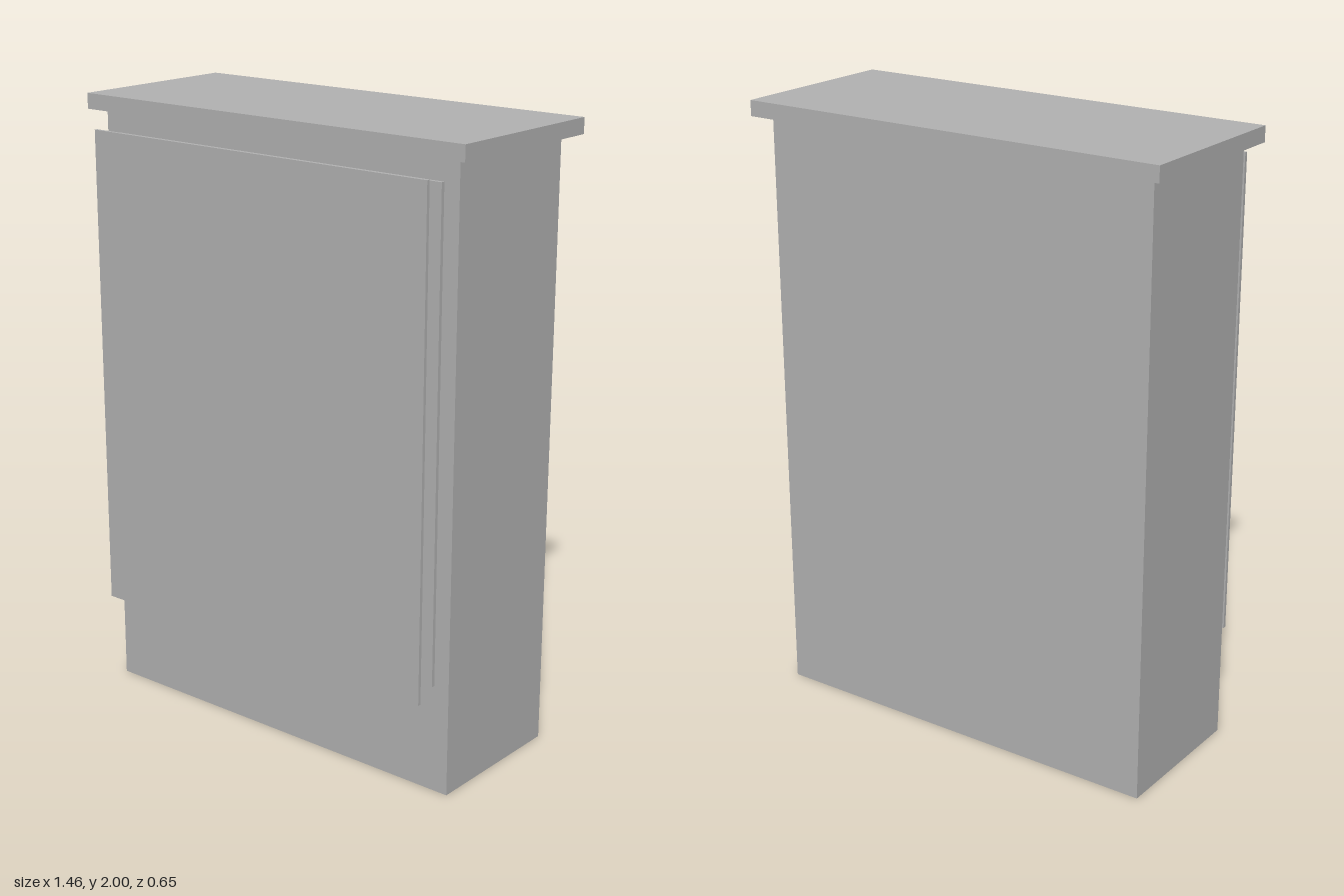
import * as THREE from 'three';

export function createModel() {
  const model = new THREE.Group();
  const grey = new THREE.MeshStandardMaterial({ color: 0xb2b2b2 });
  grey.name = 'cabinet grey';

  // Box given by its lower and upper limits on each axis
  function box(name, [x0, x1], [y0, y1], [z0, z1], parent = model) {
    const mesh = new THREE.Mesh(new THREE.BoxGeometry(x1 - x0, y1 - y0, z1 - z0), grey);
    mesh.position.set((x0 + x1) / 2, (y0 + y1) / 2, (z0 + z1) / 2);
    mesh.name = name;
    parent.add(mesh);
    return mesh;
  }

  // Cabinet with overhanging roof
  box('cabinetBody', [-0.685, 0.685], [0, 1.95], [-0.275, 0.228]);
  box('roof', [-0.73, 0.73], [1.95, 2], [-0.325, 0.27]);

  // Mounting plate on the cabinet and the cover standing off in front of it
  box('mountingPlate', [-0.632, 0.632], [0.35, 1.88], [0.228, 0.24]);
  box('frontCover', [-0.645, 0.645], [0.325, 1.9], [0.314, 0.325]);

  // Main switch behind the cover
  const mainSwitch = new THREE.Group();
  mainSwitch.name = 'mainSwitch';
  model.add(mainSwitch);
  box('mainSwitchBody', [-0.185, 0.175], [0.94, 1.39], [0.24, 0.275], mainSwitch);
  box('mainSwitchLever', [-0.095, 0.085], [1.14, 1.24], [0.275, 0.281], mainSwitch);

  // Row of six small switches with levers
  for (let i = 0; i < 6; i++) {
    const x = -0.235 + i * 0.0914;
    const unit = new THREE.Group();
    unit.name = 'smallSwitch' + (i + 1);
    model.add(unit);
    box('switchBody', [x - 0.04, x + 0.04], [0.437, 0.62], [0.24, 0.28], unit);
    box('switchLever', [x - 0.028, x + 0.028], [0.505, 0.553], [0.28, 0.296], unit);
  }

  return model;
}
